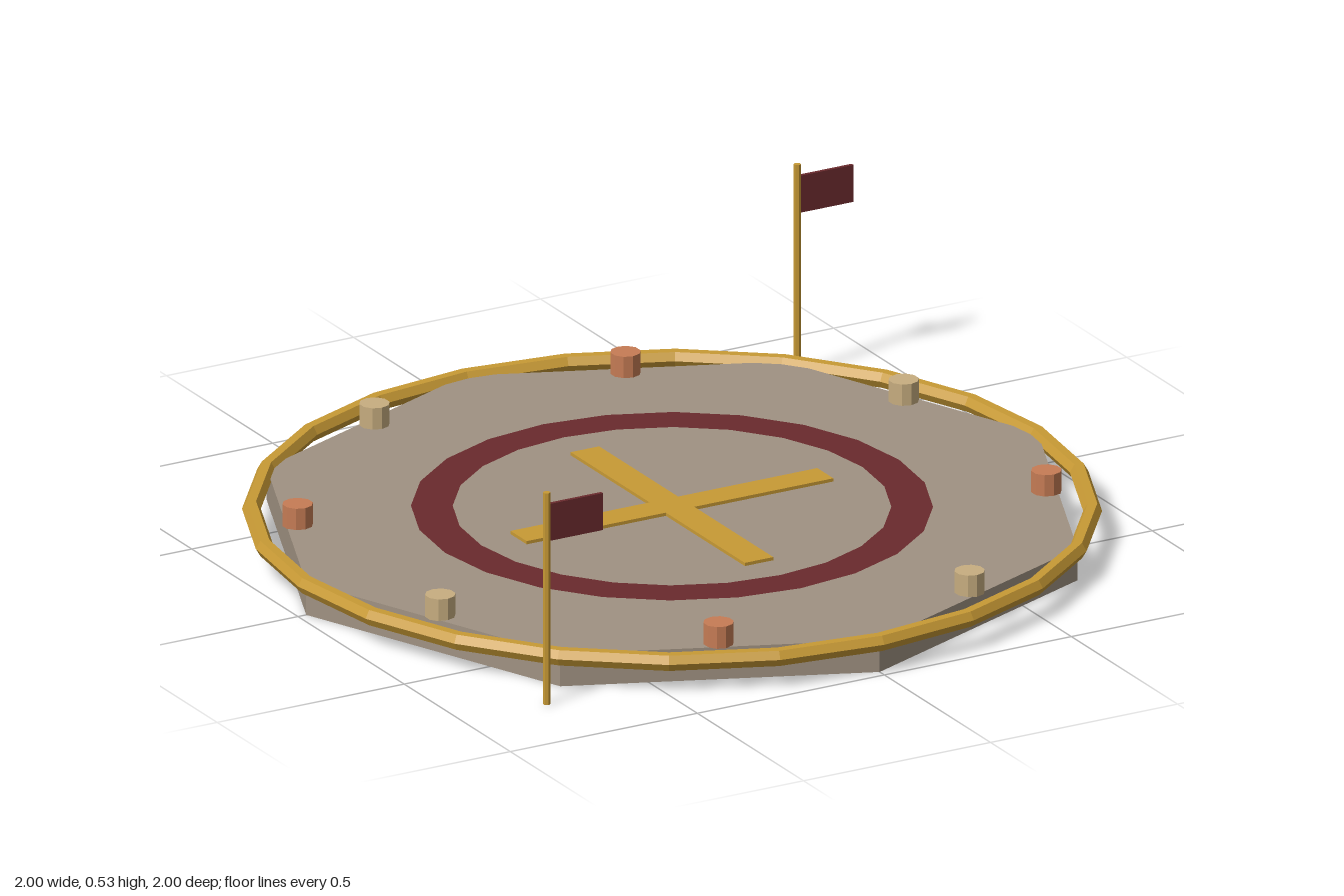
import * as THREE from 'three';

export function createModel() {
  const model = new THREE.Group();
  const material = (name, color) => {
    const m = new THREE.MeshStandardMaterial({ color, flatShading: true });
    m.name = name;
    return m;
  };
  const stone = material('stone', 0xa09282);
  const gold = material('gold', 0xc89a35);
  const maroon = material('maroon', 0x6a2a2d);
  const cream = material('cream', 0xc8ae80);
  const copper = material('copper', 0xc67c55);

  const add = (name, geometry, mat, x, y, z, parent = model) => {
    const mesh = new THREE.Mesh(geometry, mat);
    mesh.name = name;
    mesh.position.set(x, y, z);
    parent.add(mesh);
    return mesh;
  };

  // Octagonal platform with corners on the axes
  const deckTop = 0.08;
  add('platform', new THREE.CylinderGeometry(0.978, 0.978, deckTop, 8), stone, 0, deckTop / 2, 0);

  // Rim rail around the platform
  const rail = new THREE.TorusGeometry(0.978, 0.022, 6, 24).rotateX(Math.PI / 2);
  add('rimRail', rail, gold, 0, 0.075, 0);

  // Painted circle
  const circle = new THREE.RingGeometry(0.51, 0.607, 24).rotateX(-Math.PI / 2);
  add('paintedCircle', circle, maroon, 0, deckTop + 0.004, 0);

  // Painted cross, the second bar split so the tops never overlap
  const cross = new THREE.Group();
  cross.name = 'paintedCross';
  model.add(cross);
  const half = 0.41, width = 0.076, thick = 0.008;
  const y = deckTop + thick / 2;
  add('crossBar', new THREE.BoxGeometry(half * 2, thick, width), gold, 0, y, 0, cross);
  const arm = half - width / 2;
  for (const s of [-1, 1]) {
    add('crossArm', new THREE.BoxGeometry(width, thick, arm), gold, 0, y, s * (width + arm) / 2, cross);
  }

  // Lamps near the middle of each edge, in alternating colours
  const lamp = new THREE.CylinderGeometry(0.036, 0.036, 0.054, 10);
  for (let i = 0; i < 8; i++) {
    const a = (i + 0.5) * Math.PI / 4;
    add('lamp', lamp, i % 2 ? cream : copper, Math.cos(a) * 0.877, 0.106, Math.sin(a) * 0.877);
  }

  // Flagpoles at two opposite corners, both flags flying to +x
  for (const s of [-1, 1]) {
    const flagpole = new THREE.Group();
    flagpole.name = 'flagpole';
    flagpole.position.set(s * 0.775, 0, -s * 0.775);
    model.add(flagpole);
    add('pole', new THREE.CylinderGeometry(0.009, 0.009, 0.528, 6), gold, 0, 0.264, 0, flagpole);
    add('flag', new THREE.BoxGeometry(0.142, 0.092, 0.009), maroon, 0.077, 0.453, 0, flagpole);
  }

  return model;
}
